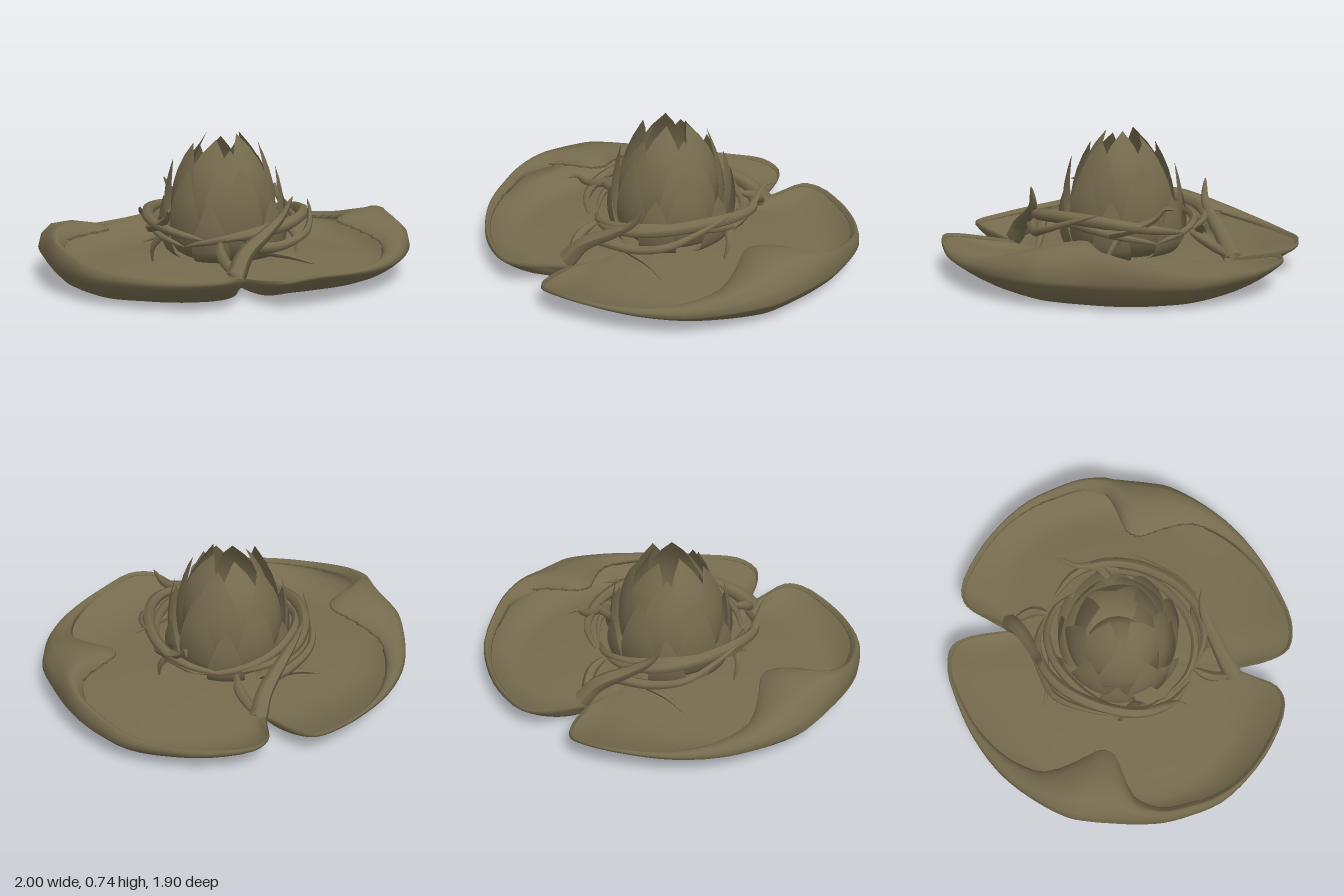
import * as THREE from 'three';

const olive = new THREE.MeshStandardMaterial({ color: 0x766b4e, side: THREE.DoubleSide });
olive.name = 'olive';

const V = (p) => new THREE.Vector3(...p);

// Smooth sheet of (rows + 1) x (cols + 1) points given by fn(row, col)
function sheet(rows, cols, fn) {
  const pos = [], idx = [];
  for (let i = 0; i <= rows; i++)
    for (let j = 0; j <= cols; j++) pos.push(...fn(i, j));
  for (let i = 0; i < rows; i++)
    for (let j = 0; j < cols; j++) {
      const a = i * (cols + 1) + j, b = a + cols + 1;
      idx.push(a, a + 1, b, b, a + 1, b + 1);
    }
  const g = new THREE.BufferGeometry();
  g.setAttribute('position', new THREE.Float32BufferAttribute(pos, 3));
  g.setIndex(idx);
  g.computeVertexNormals();
  return g;
}

function add(parent, name, geometry) {
  const m = new THREE.Mesh(geometry, olive);
  m.name = name;
  parent.add(m);
  return m;
}

// Rim of one leaf, notch to notch: x, z, rim height, lip height, inward curl
const RIM = [
  [0.21, -0.595, 0.085, 0.10, 0.01], [0.28, -0.69, 0.11, 0.125, 0.01],
  [0.37, -0.80, 0.14, 0.16, 0.01], [0.47, -0.82, 0.14, 0.16, 0.01],
  [0.67, -0.71, 0.13, 0.16, 0.02], [0.83, -0.55, 0.13, 0.17, 0.02],
  [0.94, -0.38, 0.13, 0.19, 0.04], [0.985, -0.2, 0.14, 0.23, 0.05],
  [1.0, -0.06, 0.15, 0.26, 0.06], [0.985, 0.08, 0.15, 0.29, 0.12],
  [0.96, 0.2, 0.15, 0.31, 0.33], [0.93, 0.32, 0.15, 0.30, 0.36],
  [0.89, 0.43, 0.15, 0.28, 0.31], [0.75, 0.61, 0.14, 0.22, 0.14],
  [0.59, 0.75, 0.13, 0.18, 0.08], [0.38, 0.86, 0.13, 0.16, 0.04],
  [0.18, 0.92, 0.14, 0.16, 0.02], [-0.02, 0.95, 0.15, 0.17, 0.01],
  [-0.155, 0.91, 0.13, 0.15, 0.01], [-0.20, 0.80, 0.11, 0.13, 0.01],
  [-0.21, 0.595, 0.085, 0.10, 0.01],
];

// Closed leaf shell: underside, rolled lip, back under the lip, upper floor
function leafGeometry() {
  const rim = new THREE.CatmullRomCurve3(RIM.map(([x, z, y]) => V([x, y, z])));
  const lip = new THREE.CatmullRomCurve3(RIM.map(([, , , y, c], i) => V([c, y, i * 0.1])));
  const floor = [0, 0.12, 0.3, 0.5, 0.62, 0.72, 0.8, 0.86, 0.91, 0.95, 0.98, 1]
    .map((t) => ({ t, s: 0, f: 0 }));
  const curl = [[0.05, 0.5], [0.22, 0.9], [0.5, 1], [0.8, 0.9], [1, 0.7]]
    .map(([s, f]) => ({ t: 1, s, f }));
  const outside = [...floor, ...curl];
  const inside = outside.map((o) => ({ ...o, inner: true })).reverse();
  const rows = [...outside, ...inside];
  const cols = 60;
  return sheet(rows.length - 1, cols, (i, j) => {
    const p = rim.getPoint(j / cols), q = lip.getPoint(j / cols);
    const { t, s, f, inner } = rows[i];
    const r = Math.hypot(p.x, p.z);
    // flat floor turning up to the rim, steeper towards the sides
    const t0 = 0.55 + 0.28 * Math.abs(p.x);
    const rise = Math.max(0, (t - t0) / (1 - t0)) ** 2;
    const base = 0.006 + 0.026 * Math.max(0, 1 - r * t * 1.5);
    let y = base + (p.y - base) * rise + (q.y - p.y) * f;
    let k = t - (q.x * s) / r;
    if (inner) {
      y += s > 0 ? -0.015 : 0.065 * (1 - t ** 4);
      k *= 1 - 0.012 * t;
    }
    return [p.x * k, y, p.z * k];
  });
}

// Pointed petal wrapped round the axis; profile runs base to tip as [radius, y]
function petalGeometry(profile, halfWidth) {
  const curve = new THREE.CatmullRomCurve3(profile.map(([r, y]) => V([r, y, 0])));
  const rows = 10, cols = 6;
  return sheet(rows, cols, (i, j) => {
    const t = i / rows, s = (j / cols) * 2 - 1;
    const p = curve.getPoint(t);
    const w = halfWidth * Math.pow(Math.sin(Math.PI * (0.2 + 0.8 * t)), 0.75);
    return [p.x - 1.6 * (w * s) ** 2, p.y, w * s];
  });
}

// Vine through a few points, its thickness scaled along the length by taper
function vineGeometry(points, radius, taper) {
  const path = new THREE.CatmullRomCurve3(points.map(V));
  const n = 24, sides = 6;
  const g = new THREE.TubeGeometry(path, n, radius, sides);
  const pos = g.attributes.position, v = new THREE.Vector3();
  for (let i = 0; i <= n; i++) {
    const c = path.getPointAt(i / n);
    for (let j = 0; j <= sides; j++) {
      const k = i * (sides + 1) + j;
      v.fromBufferAttribute(pos, k).sub(c).multiplyScalar(taper(i / n)).add(c);
      pos.setXYZ(k, v.x, v.y, v.z);
    }
  }
  g.computeVertexNormals();
  return g;
}

const toTip = (t) => 0.03 + 0.97 * Math.pow(1 - t, 0.6);
const bothEnds = (t) => 0.08 + 0.92 * Math.pow(Math.sin(Math.PI * t), 0.5);

// Points along an arc of the vine ring, angles in degrees from +x towards +z
function arc(from, to, r, height, steps = 8) {
  return Array.from({ length: steps + 1 }, (_, i) => {
    const t = i / steps, a = THREE.MathUtils.degToRad(from + (to - from) * t);
    const rr = r + 0.02 * Math.sin(t * 9);
    return [rr * Math.cos(a), height(t), rr * Math.sin(a)];
  });
}

export function createModel() {
  const model = new THREE.Group();
  model.name = 'waterLily';

  // Two leaves and their vines, the second a half turn of the first
  const leaf = leafGeometry();
  const vines = [
    ['climbingBranch', vineGeometry([[-0.25, 0.11, 0.58], [-0.18, 0.2, 0.54], [-0.02, 0.29, 0.48], [0.08, 0.36, 0.455], [0.14, 0.46, 0.46]], 0.05, toTip)],
    ['outerVine', vineGeometry(arc(118, -48, 0.43, (t) => 0.25 + 0.08 * Math.sin(Math.PI * t)), 0.032, bothEnds)],
    ['innerVine', vineGeometry(arc(150, -30, 0.385, (t) => 0.2 + 0.1 * Math.sin(Math.PI * t)), 0.025, bothEnds)],
    ['sideThorn', vineGeometry([[0.41, 0.27, 0.05], [0.43, 0.3, -0.08], [0.43, 0.35, -0.18], [0.44, 0.4, -0.23], [0.47, 0.4, -0.28]], 0.032, toTip)],
    ['sideRoot', vineGeometry([[0.41, 0.31, -0.05], [0.37, 0.24, 0], [0.40, 0.16, 0.05], [0.39, 0.07, 0.08]], 0.028, toTip)],
    ['frontRoot', vineGeometry([[-0.22, 0.24, 0.36], [-0.26, 0.2, 0.44], [-0.25, 0.11, 0.57]], 0.028, bothEnds)],
    ['lowShoot', vineGeometry([[-0.12, 0.23, 0.42], [0.02, 0.18, 0.42], [0.16, 0.14, 0.43], [0.27, 0.1, 0.47]], 0.028, toTip)],
    ['longShoot', vineGeometry([[-0.1, 0.22, 0.48], [0.08, 0.21, 0.45], [0.25, 0.25, 0.4], [0.38, 0.32, 0.24], [0.45, 0.37, 0.1]], 0.03, toTip)],
  ];
  for (let h = 0; h < 2; h++) {
    const half = new THREE.Group();
    half.name = h ? 'rightHalf' : 'leftHalf';
    half.rotation.y = h * Math.PI;
    add(half, 'leaf', leaf);
    for (const [name, g] of vines) add(half, name, g);
    model.add(half);
  }

  // Flower of overlapping rings of broad petals: name, count, turn, half width, profile
  const flower = new THREE.Group();
  flower.name = 'flower';
  flower.position.z = -0.015;
  const rings = [
    ['innerPetal', 5, 0, 0.17, [[0.1, 0.08], [0.2, 0.2], [0.235, 0.38], [0.2, 0.56], [0.09, 0.745]]],
    ['middlePetal', 5, Math.PI / 5, 0.16, [[0.12, 0.08], [0.24, 0.18], [0.275, 0.36], [0.25, 0.52], [0.18, 0.7]]],
    ['outerPetal', 6, 0.35, 0.12, [[0.16, 0.08], [0.275, 0.15], [0.315, 0.28], [0.315, 0.42], [0.275, 0.6]]],
    ['sepal', 6, 0.87, 0.1, [[0.18, 0.08], [0.3, 0.12], [0.335, 0.2], [0.345, 0.3], [0.33, 0.43]]],
  ];
  for (const [name, count, turn, width, profile] of rings) {
    const g = petalGeometry(profile, width);
    for (let i = 0; i < count; i++) {
      const petal = add(flower, name, g);
      petal.rotation.y = turn + (i / count) * Math.PI * 2;
      petal.scale.y = 1 - 0.04 * (i % 2);
    }
  }

  // Rounded heart inside the bud
  const heart = [[0.001, 0.25], [0.1, 0.24], [0.16, 0.2], [0.18, 0.14], [0.12, 0.08]];
  add(flower, 'heart', new THREE.LatheGeometry(heart.map(([x, y]) => new THREE.Vector2(x, y)), 18));
  model.add(flower);

  return model;
}
